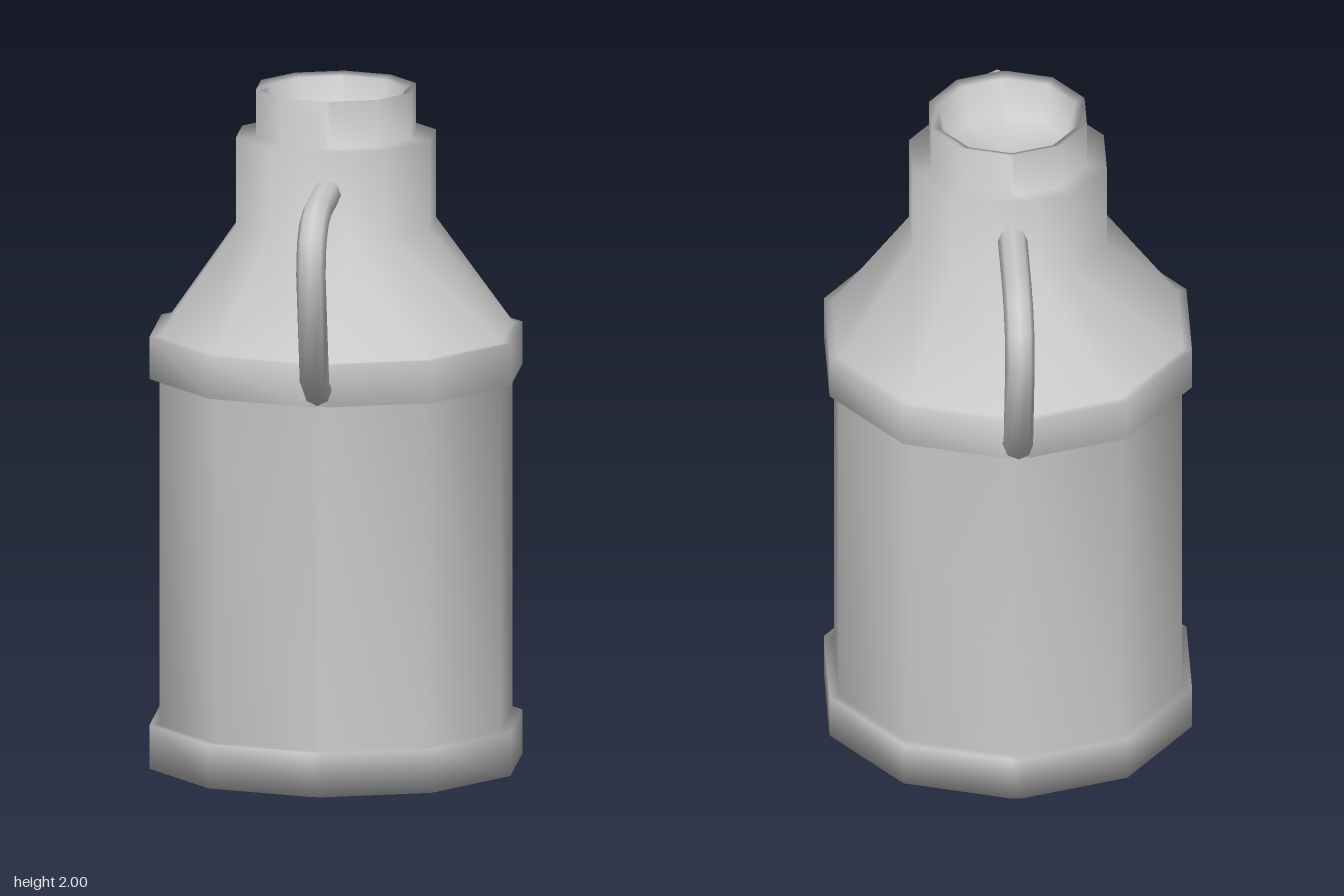
import * as THREE from 'three';
import { mergeVertices } from 'three/addons/utils/BufferGeometryUtils.js';

const grey = new THREE.MeshStandardMaterial({ color: 0xcccccc });

// Profile from base centre to mouth floor: radius, height, optional flat
// distance where the front and back corners are trimmed for the handles.
const PROFILE = [
  [0, 0], [0.555, 0], [0.555, 0.13],           // base ring
  [0.525, 0.13], [0.525, 1.155],               // body
  [0.555, 1.155, 0.542], [0.555, 1.28, 0.542], // collar
  [0.528, 1.28], [0.298, 1.6, 0.275],          // shoulder
  [0.298, 1.86, 0.275], [0.238, 1.86],         // neck
  [0.238, 2], [0.21, 1.99], [0.185, 1.88], [0, 1.87], // mouth and recess
];

// Smooth ten-sided lathe, front and back corners split into narrow flats
function canGeometry() {
  const geo = new THREE.LatheGeometry(PROFILE.map(([r, y]) => new THREE.Vector2(r, y)), 12);
  const pos = geo.attributes.position;
  const deg = Math.PI / 180;
  const sideAngles = [36, 72, 108, 144];
  for (let i = 0; i < pos.count; i++) {
    const column = Math.floor(i / PROFILE.length) % 12;
    const [r, y, flat = r * 0.99] = PROFILE[i % PROFILE.length];
    const mirror = column < 6 ? 1 : -1;
    const k = column % 6;
    let x, z;
    if (k === 0 || k === 5) {
      x = (r - flat) / Math.tan(18 * deg);
      z = k === 0 ? flat : -flat;
    } else {
      x = r * Math.sin(sideAngles[k - 1] * deg);
      z = r * Math.cos(sideAngles[k - 1] * deg);
    }
    // The second half is the first turned half way round
    pos.setXYZ(i, x * mirror, y, z * mirror);
  }
  geo.deleteAttribute('normal');
  geo.deleteAttribute('uv');
  const welded = mergeVertices(geo, 1e-4);
  welded.computeVertexNormals();
  return welded;
}

// Tube with one ring at each path point, mitred at the bends
function handleGeometry() {
  const pts = [
    [0.25, 1.733], [0.525, 1.733], [0.635, 1.712], [0.698, 1.668],
    [0.72, 1.58], [0.62, 1.245], [0.52, 1.195],
  ].map(([z, y]) => new THREE.Vector3(0, y, z));
  const last = pts.length - 1;
  const dir = (i) => pts[i + 1].clone().sub(pts[i]).normalize();
  const path = new THREE.Curve();
  path.getPointAt = (u) => pts[Math.round(u * last)].clone();
  path.getTangentAt = (u) => {
    const i = Math.round(u * last);
    return dir(Math.max(i - 1, 0)).add(dir(Math.min(i, last - 1))).normalize();
  };
  return new THREE.TubeGeometry(path, last, 0.043, 8);
}

export function createModel() {
  const group = new THREE.Group();
  group.name = 'milkCan';

  const can = new THREE.Mesh(canGeometry(), grey);
  can.name = 'canBody';
  group.add(can);

  // Handles at front and back
  const handle = handleGeometry();
  [['frontHandle', 0], ['backHandle', Math.PI]].forEach(([name, turn]) => {
    const mesh = new THREE.Mesh(handle, grey);
    mesh.name = name;
    mesh.rotation.y = turn;
    group.add(mesh);
  });
  return group;
}
